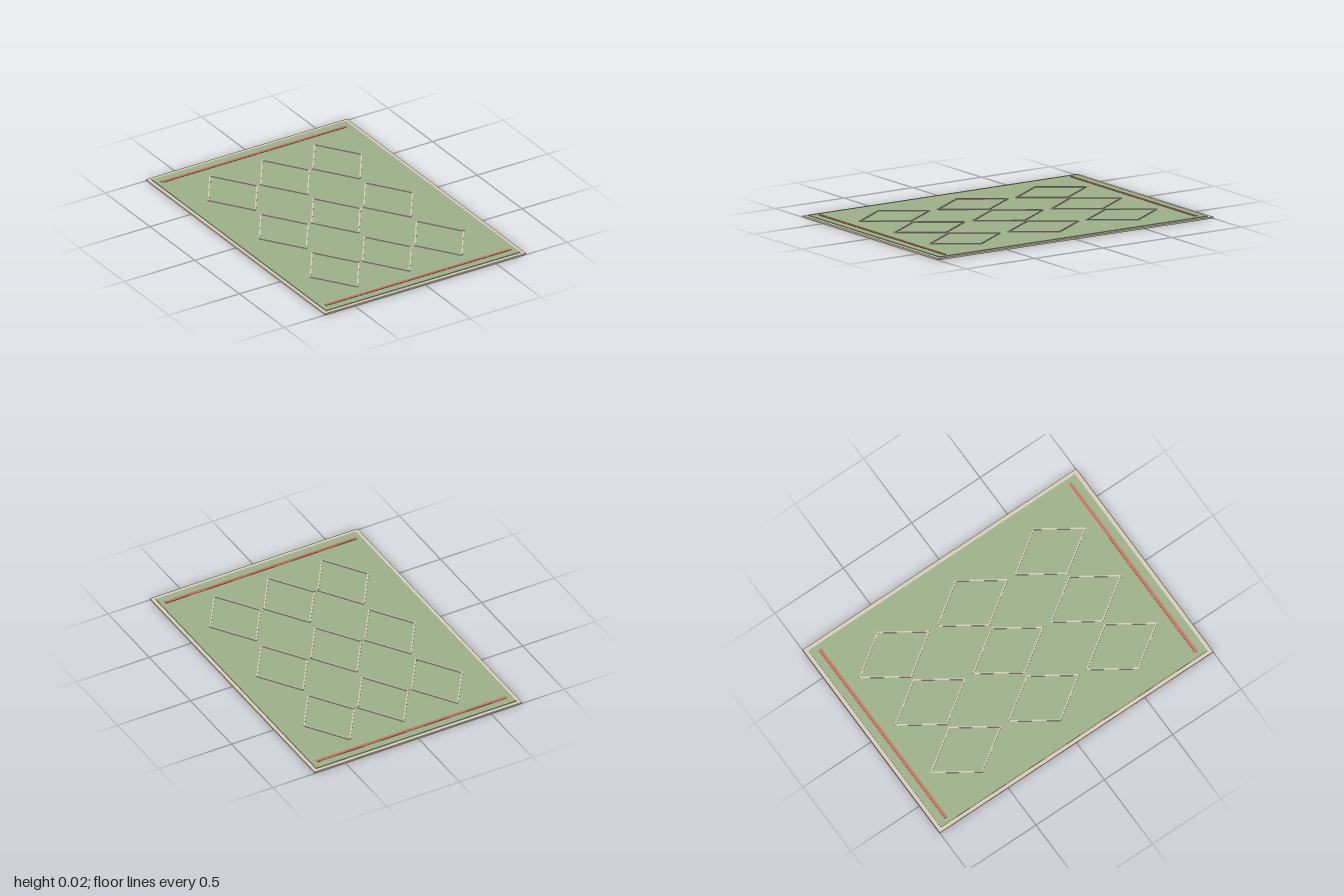
import * as THREE from 'three';

const mat = (color) => new THREE.MeshStandardMaterial({ color });

export function createModel() {
  const rug = new THREE.Group();
  rug.name = 'rug';
  const cream = mat(0xd8cbb8), sage = mat(0x9caf88), clay = mat(0xc4705f);

  // box standing on height y
  const slab = (name, w, h, d, material, x, y, z, parent = rug) => {
    const mesh = new THREE.Mesh(new THREE.BoxGeometry(w, h, d), material);
    mesh.name = name;
    mesh.position.set(x, y + h / 2, z);
    parent.add(mesh);
    return mesh;
  };

  // cream border and raised sage field
  slab('border', 1.424, 0.01, 2, cream, 0, 0, 0);
  slab('field', 1.376, 0.004, 1.95, sage, 0, 0.01, 0);

  // stripe across each end
  for (const s of [-1, 1]) slab('endStripe', 1.31, 0.003, 0.02, clay, 0, 0.013, s * 0.915);

  // three by three diamonds, each outlined by four thin bars
  const hx = 0.172, hz = 0.254;
  const length = Math.hypot(hx, hz), angle = Math.atan2(hz, hx);
  for (const x of [-0.37, 0, 0.37]) {
    for (const z of [-0.57, 0, 0.57]) {
      const diamond = new THREE.Group();
      diamond.name = 'diamond';
      diamond.position.set(x, 0, z);
      for (const sx of [-1, 1]) {
        for (const sz of [-1, 1]) {
          const bar = slab('diamondBar', length, 0.005, 0.008, cream, sx * hx / 2, 0.013, sz * hz / 2, diamond);
          bar.rotation.y = sx * sz * angle;
        }
      }
      rug.add(diamond);
    }
  }
  return rug;
}
